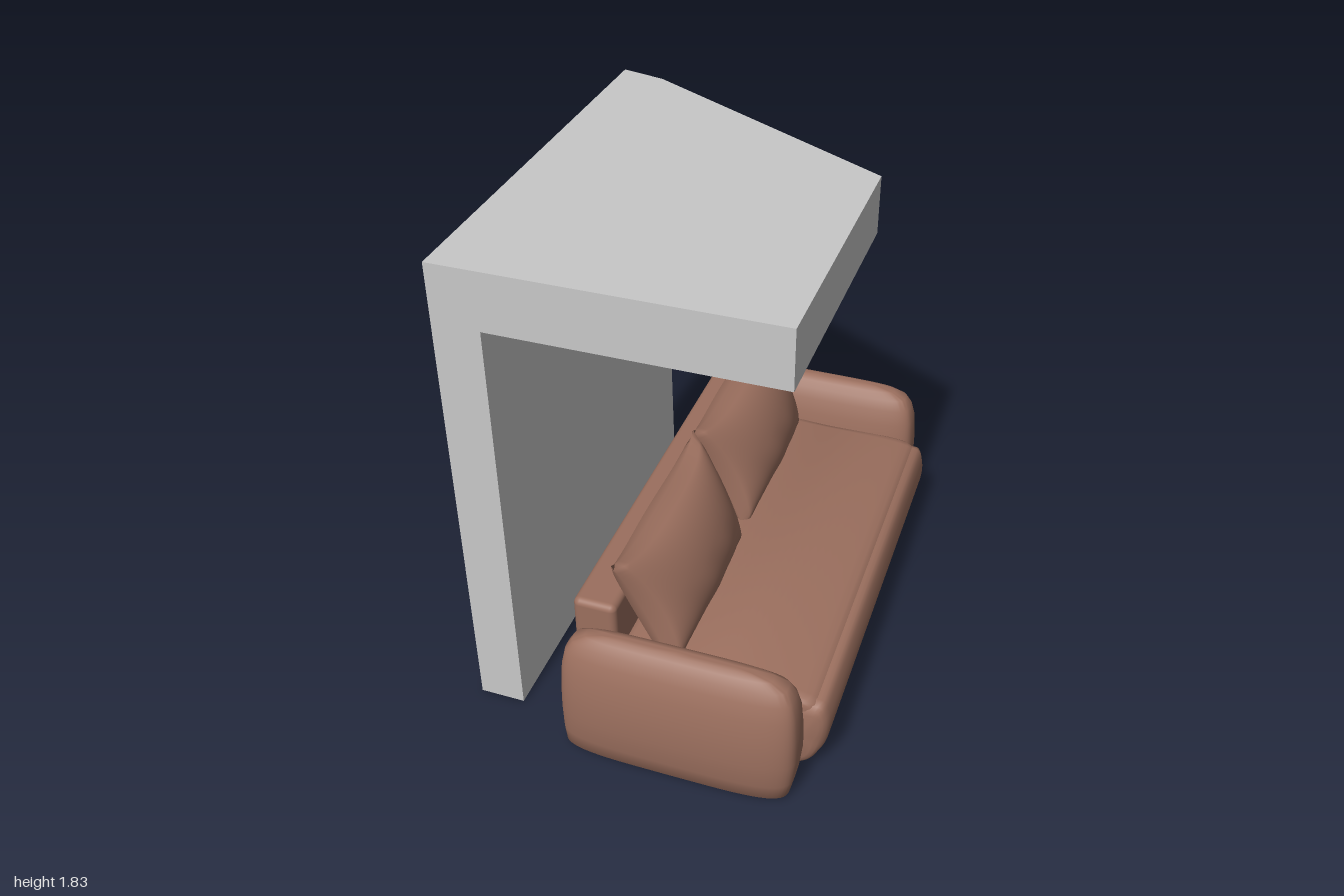
import * as THREE from 'three';
import { toCreasedNormals, mergeVertices } from 'three/addons/utils/BufferGeometryUtils.js';
import { RoundedBoxGeometry } from 'three/addons/geometries/RoundedBoxGeometry.js';

const fabric = new THREE.MeshStandardMaterial({ color: 0x9b6f5e });
fabric.name = 'brown fabric';
const plaster = new THREE.MeshStandardMaterial({ color: 0xc8c8c8 });
plaster.name = 'grey plaster';

function addMesh(parent, name, geometry, material, x = 0, y = 0, z = 0) {
  const mesh = new THREE.Mesh(geometry, material);
  mesh.name = name;
  mesh.position.set(x, y, z);
  parent.add(mesh);
  return mesh;
}

// Closed skin over rings that run counter-clockwise about the loft direction
function loft(rings) {
  const n = rings[0].length, points = [], index = [];
  for (const ring of rings) for (const p of ring) points.push(p);
  for (let i = 0; i < rings.length - 1; i++) {
    for (let j = 0; j < n; j++) {
      const a = i * n + j, b = i * n + (j + 1) % n;
      index.push(a, b, b + n, a, b + n, a + n);
    }
  }
  const cap = (ring, base, flip) => {
    const c = new THREE.Vector3();
    ring.forEach((p) => c.addScaledVector(p, 1 / n));
    const k = points.push(c) - 1;
    for (let j = 0; j < n; j++) {
      const a = base + j, b = base + (j + 1) % n;
      index.push(k, flip ? b : a, flip ? a : b);
    }
  };
  cap(rings[0], 0, true);
  cap(rings[rings.length - 1], (rings.length - 1) * n, false);
  const g = new THREE.BufferGeometry().setFromPoints(points);
  g.setIndex(index);
  return toCreasedNormals(g, 0.8);
}

// Arm: stacked rounded outlines, swelling in the middle and closing at the top
function armGeometry() {
  const levels = [ // y, min x, max x, half depth
    [0.01, -0.255, 0.55, 0.08], [0.025, -0.268, 0.565, 0.095], [0.1, -0.27, 0.58, 0.112],
    [0.2, -0.27, 0.59, 0.12], [0.3, -0.268, 0.588, 0.115], [0.4, -0.262, 0.58, 0.1],
    [0.46, -0.25, 0.565, 0.08], [0.5, -0.225, 0.54, 0.06], [0.525, -0.18, 0.49, 0.038],
    [0.537, -0.12, 0.42, 0.02], [0.541, -0.05, 0.35, 0.006],
  ];
  const power = (v) => Math.sign(v) * Math.abs(v) ** 0.5;
  return loft(levels.map(([y, x0, x1, depth]) => Array.from({ length: 56 }, (_, j) => {
    const a = (j / 56) * Math.PI * 2;
    return new THREE.Vector3((x0 + x1) / 2 + power(Math.cos(a)) * (x1 - x0) / 2, y, -power(Math.sin(a)) * depth);
  })));
}

// Cushion: an x,y profile run along z with softened ends
function cushionGeometry(profile, halfLength) {
  const curve = new THREE.CatmullRomCurve3(
    profile.map(([x, y]) => new THREE.Vector3(x, y, 0)), true, 'centripetal');
  const outline = curve.getSpacedPoints(64).slice(0, 64);
  const centre = new THREE.Box3().setFromPoints(outline).getCenter(new THREE.Vector3());
  const ends = [[0, 0.045], [0.006, 0.025], [0.018, 0.01], [0.045, 0]]; // step, inset
  const stations = [
    ...ends.map(([s, d]) => [s - halfLength, d]),
    ...ends.slice().reverse().map(([s, d]) => [halfLength - s, d]),
  ];
  return loft(stations.map(([z, inset]) => outline.map((p) => {
    const q = p.clone().addScaledVector(p.clone().sub(centre).normalize(), -inset);
    q.z = z;
    return q;
  })));
}

// Pillow: two puffed sheets with pointed corners and sagging edges
function pillowGeometry() {
  const g = new THREE.BoxGeometry(2, 2, 2, 32, 24, 1);
  const p = g.attributes.position;
  for (let i = 0; i < p.count; i++) {
    const u = p.getX(i), v = p.getY(i), side = Math.sign(p.getZ(i));
    const puff = 0.135 * ((1 - u * u) * (1 - v * v)) ** 0.42;
    const width = (0.39 + 0.015 * v) * (1 - 0.07 * (1 - v * v));
    const height = 0.25 * (1 - 0.17 * (1 - u ** 4));
    const wrinkle = 0.006 * Math.sin(u * 11 + v * 5) * Math.max(0, -v) * (1 - u * u) * (1 - v * v);
    p.setXYZ(i, u * width, v * height, side * puff + wrinkle);
  }
  g.deleteAttribute('normal');
  g.deleteAttribute('uv');
  const merged = mergeVertices(g, 1e-4);
  merged.computeVertexNormals();
  return merged;
}

function createSofa() {
  const sofa = new THREE.Group();
  sofa.name = 'sofa';

  addMesh(sofa, 'backrest', new RoundedBoxGeometry(0.16, 0.56, 1.58, 4, 0.025), fabric, -0.19, 0.29, 0);
  addMesh(sofa, 'seatCushion', cushionGeometry([
    [-0.12, 0.14], [-0.1, 0.12], [0.25, 0.12], [0.58, 0.12], [0.615, 0.15], [0.625, 0.25],
    [0.622, 0.325], [0.6, 0.346], [0.54, 0.357], [0.25, 0.365], [-0.08, 0.36], [-0.12, 0.34],
  ], 0.79), fabric);
  addMesh(sofa, 'frontCushion', cushionGeometry([
    [0.49, 0.04], [0.51, 0.02], [0.55, 0.022], [0.6, 0.055], [0.642, 0.13], [0.66, 0.22],
    [0.655, 0.29], [0.635, 0.335], [0.61, 0.34], [0.52, 0.32], [0.49, 0.28],
  ], 0.795), fabric);
  addMesh(sofa, 'plinth', new THREE.BoxGeometry(0.42, 0.1, 1.24), fabric, 0.22, 0.1, 0);

  const arm = armGeometry(), pillow = pillowGeometry();
  for (const [side, label] of [[1, 'left'], [-1, 'right']]) {
    addMesh(sofa, label + 'Arm', arm, fabric, 0, 0, side * 0.88);
    // Pillows lean back against the backrest
    const holder = new THREE.Group();
    holder.name = label + 'Pillow';
    holder.position.set(-0.005, 0.553, side * 0.4);
    holder.rotation.z = 0.42;
    sofa.add(holder);
    addMesh(holder, label + 'PillowBody', pillow, fabric).rotation.y = Math.PI / 2;
  }
  return sofa;
}

function createShelter() {
  const shelter = new THREE.Group();
  shelter.name = 'shelter';

  // Wall whose inner far edge tapers toward the roof
  const wall = new THREE.BoxGeometry(0.17, 1.62, 1.615);
  wall.translate(-0.58, 0.81, -0.0025);
  const p = wall.attributes.position;
  for (let i = 0; i < p.count; i++) {
    if (p.getX(i) > -0.55 && p.getY(i) > 1 && p.getZ(i) < 0) p.setZ(i, -0.768);
  }
  const flatWall = wall.toNonIndexed();
  flatWall.computeVertexNormals();
  addMesh(shelter, 'wall', flatWall, plaster);

  // Roof slab with one corner cut away diagonally
  const outline = [[-0.665, -0.81], [-0.495, -0.768], [0.5, -0.208], [0.5, 0.805], [-0.665, 0.805]];
  const shape = new THREE.Shape(outline.map(([x, z]) => new THREE.Vector2(x, -z)));
  const roof = new THREE.ExtrudeGeometry(shape, { depth: 0.213, bevelEnabled: false });
  roof.rotateX(-Math.PI / 2);
  addMesh(shelter, 'roof', roof, plaster, 0, 1.62, 0);
  return shelter;
}

export function createModel() {
  const model = new THREE.Group();
  model.name = 'shelteredSofa';
  model.add(createShelter(), createSofa());
  return model;
}
